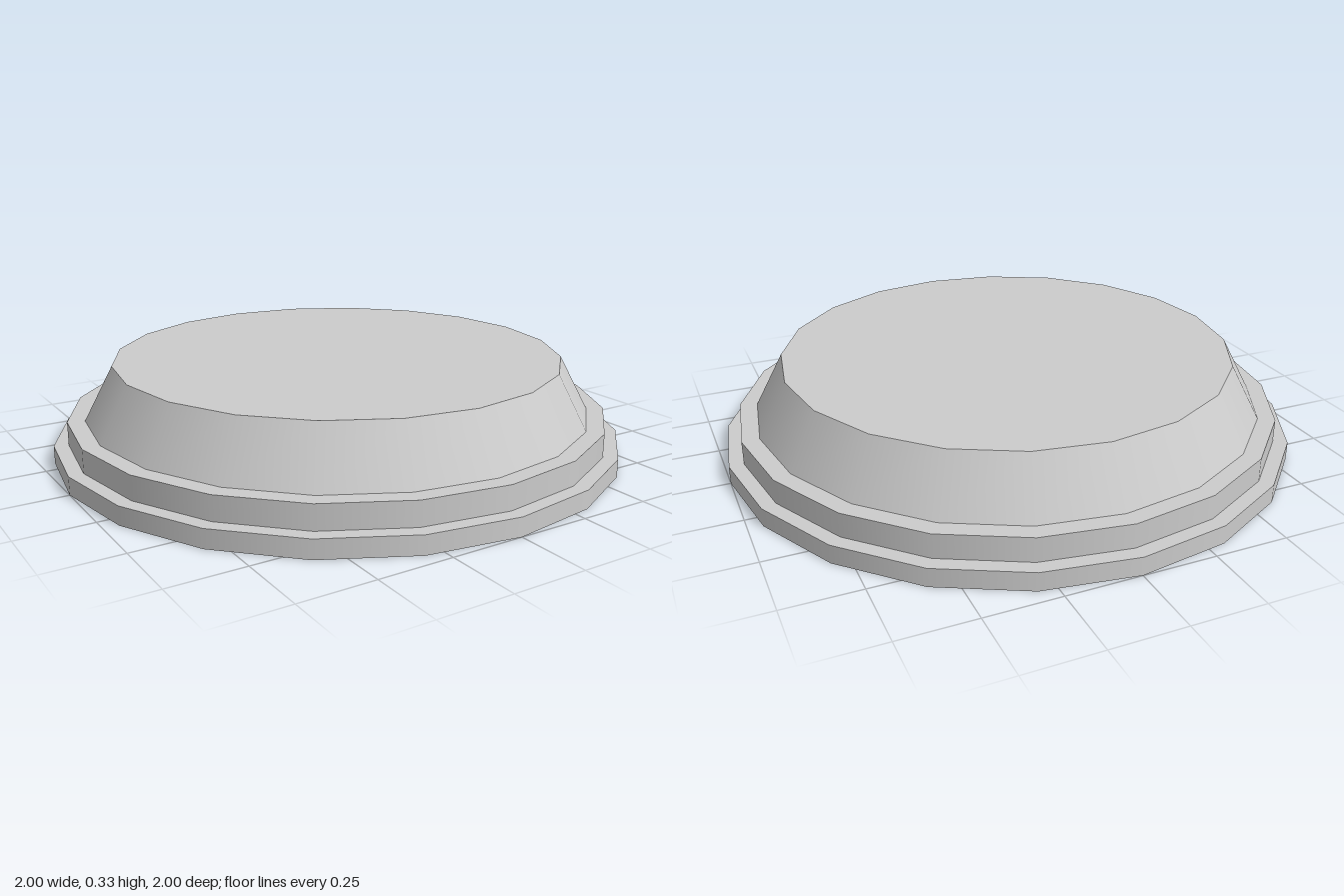
import * as THREE from 'three';

const SIDES = 20;

export function createModel() {
  const group = new THREE.Group();
  group.name = 'steppedBase';
  const material = new THREE.MeshStandardMaterial({ color: 0xcccccc });

  // One round tier between two heights, with its own bottom and top radius
  function addTier(name, bottomY, topY, bottomRadius, topRadius) {
    const height = topY - bottomY;
    const tier = new THREE.Mesh(
      new THREE.CylinderGeometry(topRadius, bottomRadius, height, SIDES),
      material
    );
    tier.name = name;
    tier.position.y = bottomY + height / 2;
    group.add(tier);
  }

  addTier('bottomRim', 0, 0.063, 1, 1);
  addTier('middleStep', 0.063, 0.145, 0.95, 0.95);
  addTier('taperedTop', 0.145, 0.332, 0.89, 0.79);

  return group;
}
